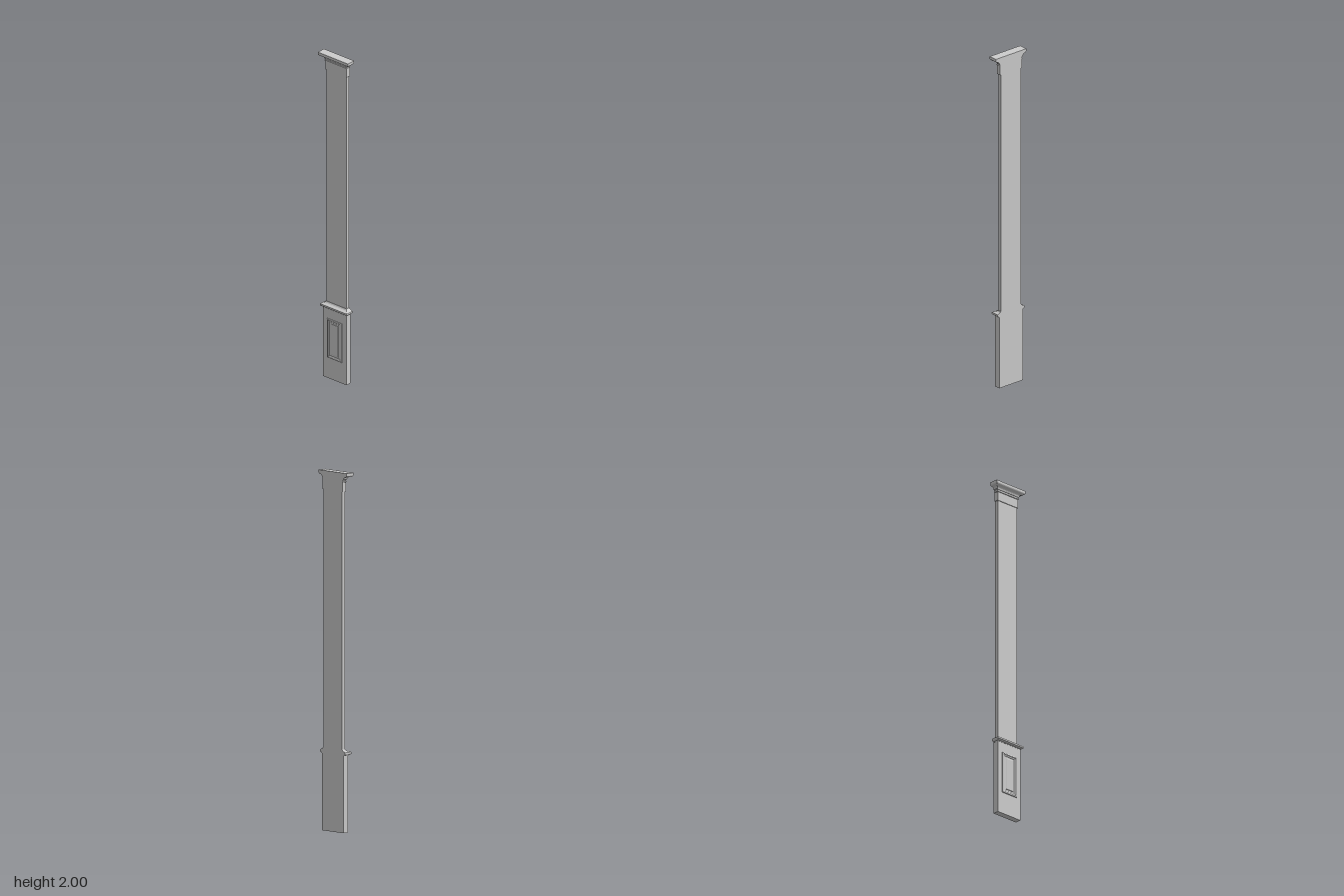
import * as THREE from 'three';

const BACK = -0.026;
const material = new THREE.MeshStandardMaterial({ color: 0xcccccc, flatShading: true });

// Closed skin through a series of four-cornered rings, capped at both ends
function loft(name, rings) {
  const pos = [];
  const tri = (...points) => points.forEach((p) => pos.push(...p));
  for (let i = 0; i < rings.length - 1; i++) {
    for (let j = 0; j < 4; j++) {
      const k = (j + 1) % 4;
      const a = rings[i][j], b = rings[i][k], c = rings[i + 1][k], d = rings[i + 1][j];
      tri(a, b, c);
      tri(a, c, d);
    }
  }
  const s = rings[0], e = rings[rings.length - 1];
  tri(s[0], s[2], s[1]);
  tri(s[0], s[3], s[2]);
  tri(e[0], e[1], e[2]);
  tri(e[0], e[2], e[3]);
  const geometry = new THREE.BufferGeometry();
  geometry.setAttribute('position', new THREE.Float32BufferAttribute(pos, 3));
  geometry.computeVertexNormals();
  const mesh = new THREE.Mesh(geometry, material);
  mesh.name = name;
  return mesh;
}

// Moulding mitred round the front and sides; profile is [halfWidth, frontZ, y] from bottom to top
const wrap = (name, profile) => loft(name, profile.map(([w, f, y]) => [
  [-w, y, f], [w, y, f], [w, y, BACK], [-w, y, BACK],
]));

// Rectangular relief on the front face; profile is [inset, z] from outside to centre
const relief = (name, w, h, cy, profile) => loft(name, profile.map(([n, z]) => [
  [-w + n, cy - h + n, z], [w - n, cy - h + n, z], [w - n, cy + h - n, z], [-w + n, cy + h - n, z],
]));

export function createModel() {
  const group = new THREE.Group();
  group.name = 'pilaster';

  // Plain pedestal and shaft
  group.add(wrap('pedestal', [[0.085, 0.010, 0], [0.085, 0.010, 0.435]]));
  group.add(wrap('shaft', [[0.073, -0.004, 0.43], [0.073, -0.004, 1.96]]));

  // Rounded rail on top of the pedestal
  group.add(wrap('pedestalRail', [
    [0.086, 0.011, 0.428], [0.088, 0.013, 0.432], [0.093, 0.018, 0.434],
    [0.097, 0.023, 0.438], [0.098, 0.024, 0.443], [0.097, 0.023, 0.448],
    [0.093, 0.018, 0.451], [0.085, 0.009, 0.453], [0.079, 0.003, 0.456],
    [0.075, -0.002, 0.463],
  ]));

  // Frame and raised field on the pedestal face
  group.add(relief('panelFrame', 0.054, 0.121, 0.248, [
    [0, 0.009], [0, 0.0145], [0.003, 0.016], [0.008, 0.016],
    [0.011, 0.0135], [0.015, 0.0125], [0.017, 0.0105],
  ]));
  group.add(relief('panelField', 0.027, 0.094, 0.248, [
    [0, 0.009], [0, 0.013], [0.004, 0.0145],
  ]));

  // Neck band below the crown
  group.add(wrap('neckBand', [
    [0.078, 0.000, 1.895], [0.078, 0.000, 1.946], [0.081, 0.003, 1.948],
    [0.081, 0.003, 1.953], [0.078, 0.000, 1.955], [0.078, 0.000, 1.965],
  ]));

  // Crown: cove rising to a flat lip
  const crown = [[0.079, 0.000, 1.96], [0.082, 0.002, 1.962]];
  for (let i = 0; i <= 6; i++) {
    const a = (i / 6) * Math.PI / 2;
    const out = 1 - Math.cos(a);
    crown.push([0.084 + 0.02 * out, 0.003 + 0.017 * out, 1.964 + 0.015 * Math.sin(a)]);
  }
  crown.push([0.108, 0.024, 1.982], [0.11, 0.026, 1.986], [0.11, 0.026, 2]);
  group.add(wrap('crown', crown));

  return group;
}
